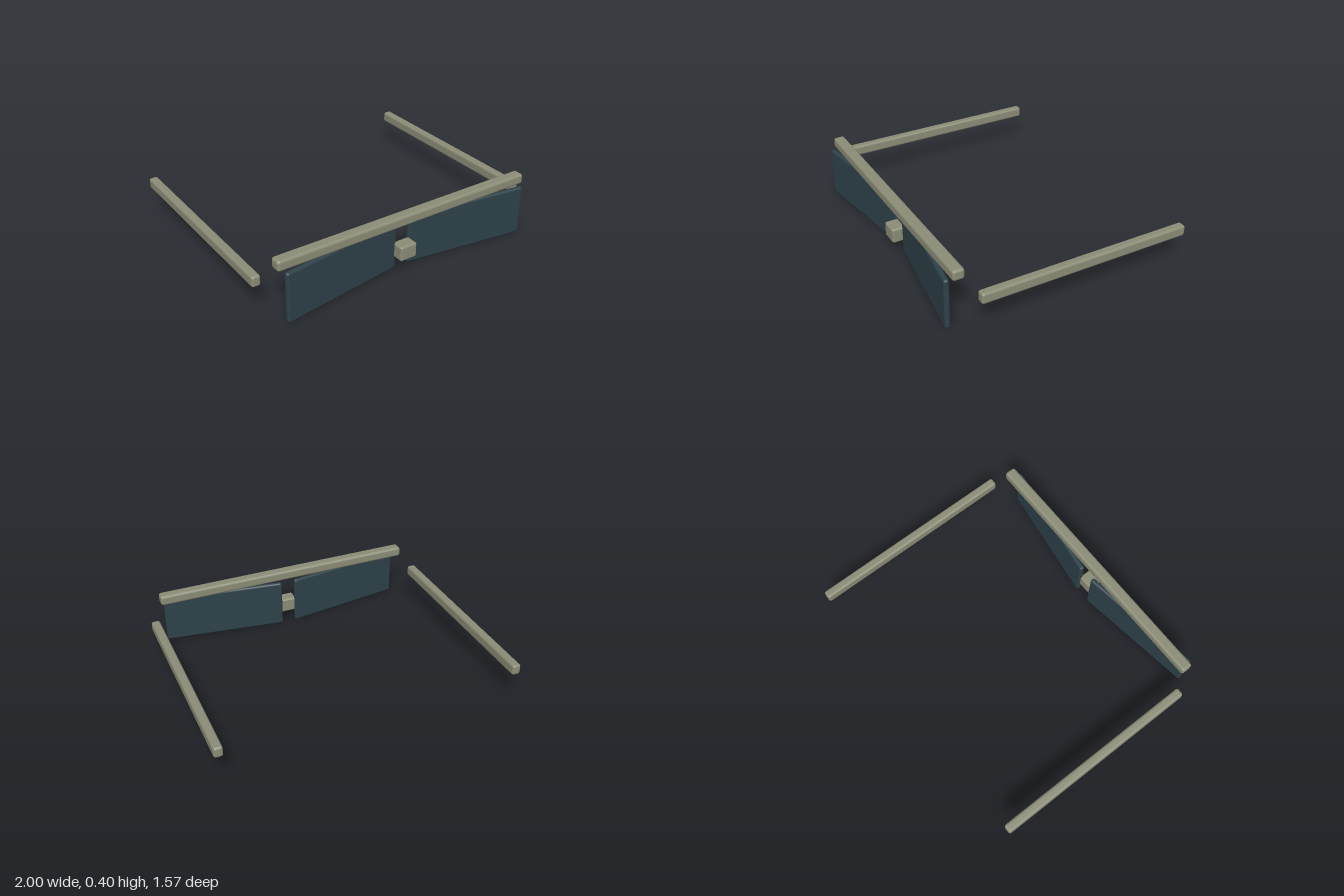
import * as THREE from 'three';
import { RoundedBoxGeometry } from 'three/addons/geometries/RoundedBoxGeometry.js';

export function createModel() {
  const model = new THREE.Group();
  model.name = 'sunglasses';

  const frame = new THREE.MeshStandardMaterial({ color: 0x8b8c76 });
  frame.name = 'olive grey frame';
  const glass = new THREE.MeshStandardMaterial({ color: 0x2d4149 });
  glass.name = 'dark teal lens';

  // Rounded bar given its size, centre and edge radius
  function bar(name, material, [w, h, d], [x, y, z], radius) {
    const mesh = new THREE.Mesh(new RoundedBoxGeometry(w, h, d, 3, radius), material);
    mesh.name = name;
    mesh.position.set(x, y, z);
    model.add(mesh);
    return mesh;
  }

  // Brow bar over both lenses, and the nose bridge between them
  bar('browBar', frame, [1.81, 0.07, 0.076], [0, 0.363, 0.708], 0.018);
  bar('noseBridge', frame, [0.12, 0.1, 0.09], [0, 0.13, 0.695], 0.014);

  for (const side of [1, -1]) {
    const label = side > 0 ? 'left' : 'right';
    // Lens, its outer end swung forward
    const lens = bar(label + 'Lens', glass, [0.834, 0.33, 0.035], [side * 0.46, 0.165, 0.71], 0.015);
    lens.rotation.y = -side * 0.14;
    // Straight temple arm
    bar(label + 'Temple', frame, [0.058, 0.072, 1.405], [side * 0.971, 0.227, -0.083], 0.016);
  }
  return model;
}
